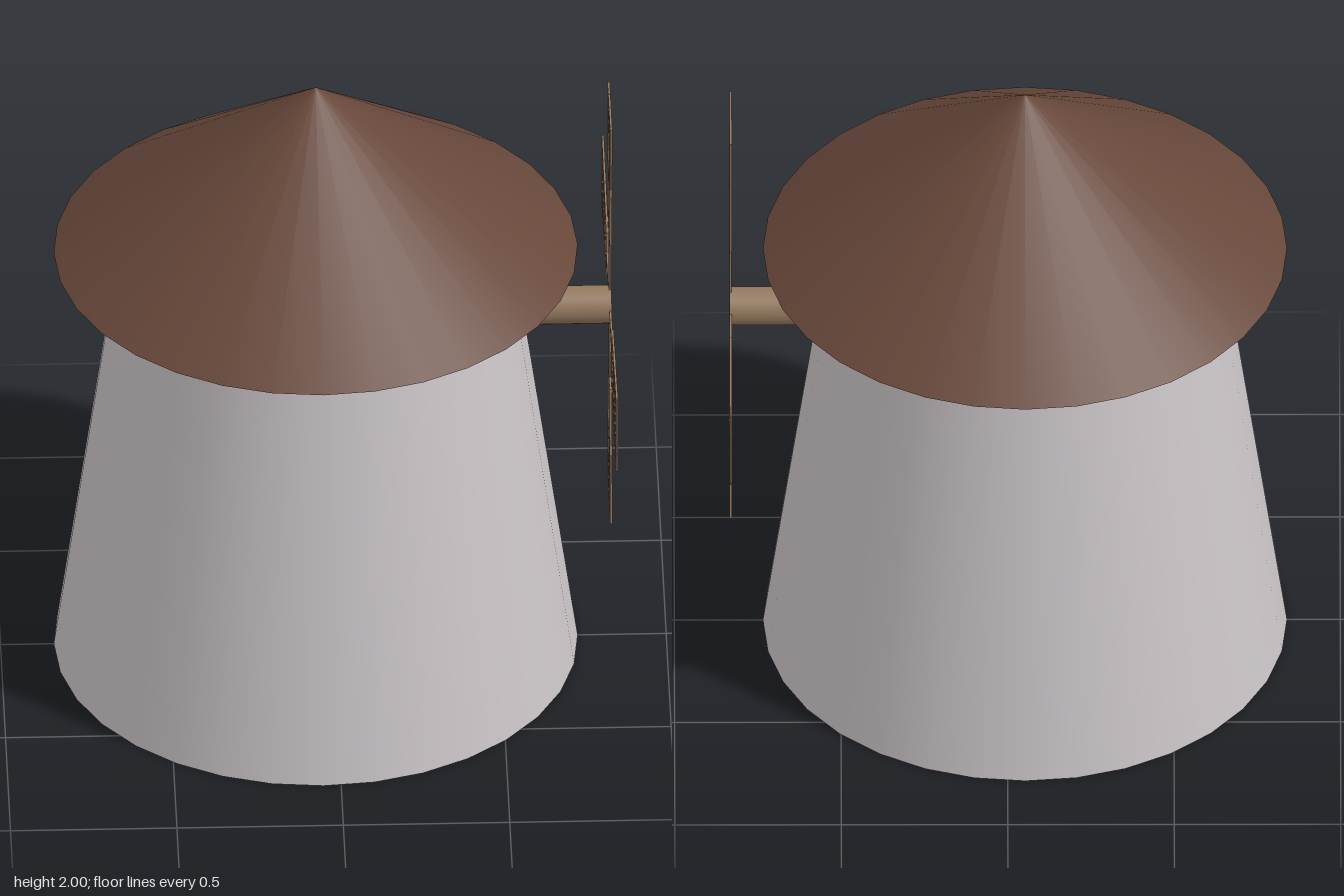
import * as THREE from 'three';
import { mergeGeometries } from 'three/addons/utils/BufferGeometryUtils.js';

const CENTRE_X = -0.053;
const SIDES = 32;

// Flat lattice bar between two points in the sail plane
function bar(x0, y0, x1, y1, width, depth = 0.007) {
  const length = Math.hypot(x1 - x0, y1 - y0);
  return new THREE.BoxGeometry(length, width, depth)
    .rotateZ(Math.atan2(y1 - y0, x1 - x0))
    .translate((x0 + x1) / 2, (y0 + y1) / 2, 0);
}

// One sail pointing along +y, widening towards its tip
function sailGeometry() {
  const inner = 0.26, outer = 0.713;
  const halfWidth = (y) => THREE.MathUtils.lerp(0.077, 0.13, (y - inner) / (outer - inner));
  const parts = [
    bar(0, 0.03, 0, inner, 0.018),
    bar(0, inner, 0, outer, 0.026),
    bar(-0.1, 0.467, 0.1, 0.467, 0.032, 0.008),
  ];
  // Lengthwise slats: [fraction of the half width, thickness]
  for (const [f, w] of [[0.28, 0.007], [0.55, 0.014], [0.97, 0.008]]) {
    for (const s of [-1, 1]) {
      parts.push(bar(s * f * halfWidth(inner), inner, s * f * halfWidth(outer), outer, w));
    }
  }
  // Cross rungs
  const rungs = 10;
  for (let i = 0; i <= rungs; i++) {
    const y = THREE.MathUtils.lerp(inner + 0.003, outer - 0.003, i / rungs);
    parts.push(bar(-halfWidth(y), y, halfWidth(y), y, 0.006));
  }
  return mergeGeometries(parts);
}

export function createModel() {
  const plaster = new THREE.MeshStandardMaterial({ color: 0xcbc5c8 });
  plaster.name = 'plaster';
  const roofBrown = new THREE.MeshStandardMaterial({ color: 0x67473a });
  roofBrown.name = 'roof brown';
  const wood = new THREE.MeshStandardMaterial({ color: 0x94795f });
  wood.name = 'wood';

  const model = new THREE.Group();
  model.name = 'windmill';
  const add = (name, geometry, material, parent = model) => {
    const mesh = new THREE.Mesh(geometry, material);
    mesh.name = name;
    parent.add(mesh);
    return mesh;
  };

  // Tapered tower
  add('tower', new THREE.CylinderGeometry(0.595, 0.787, 1.38, SIDES), plaster)
    .position.set(CENTRE_X, 0.69, 0);

  // Conical roof, raised slightly above the tower
  add('roof', new THREE.ConeGeometry(0.787, 0.585, SIDES), roofBrown)
    .position.set(CENTRE_X, 1.7075, 0);

  // Axle reaching out of the left side
  add('axle', new THREE.CylinderGeometry(0.058, 0.058, 0.275, SIDES).rotateZ(-Math.PI / 2), wood)
    .position.set(0.6975, 1.197, 0);

  // Four lattice sails
  const sails = new THREE.Group();
  sails.name = 'sails';
  sails.position.set(0.831, 1.2, 0);
  sails.rotation.y = Math.PI / 2;
  const geometry = sailGeometry();
  for (let i = 0; i < 4; i++) {
    add('sail', geometry, wood, sails).rotation.z = i * Math.PI / 2;
  }
  model.add(sails);

  return model;
}
